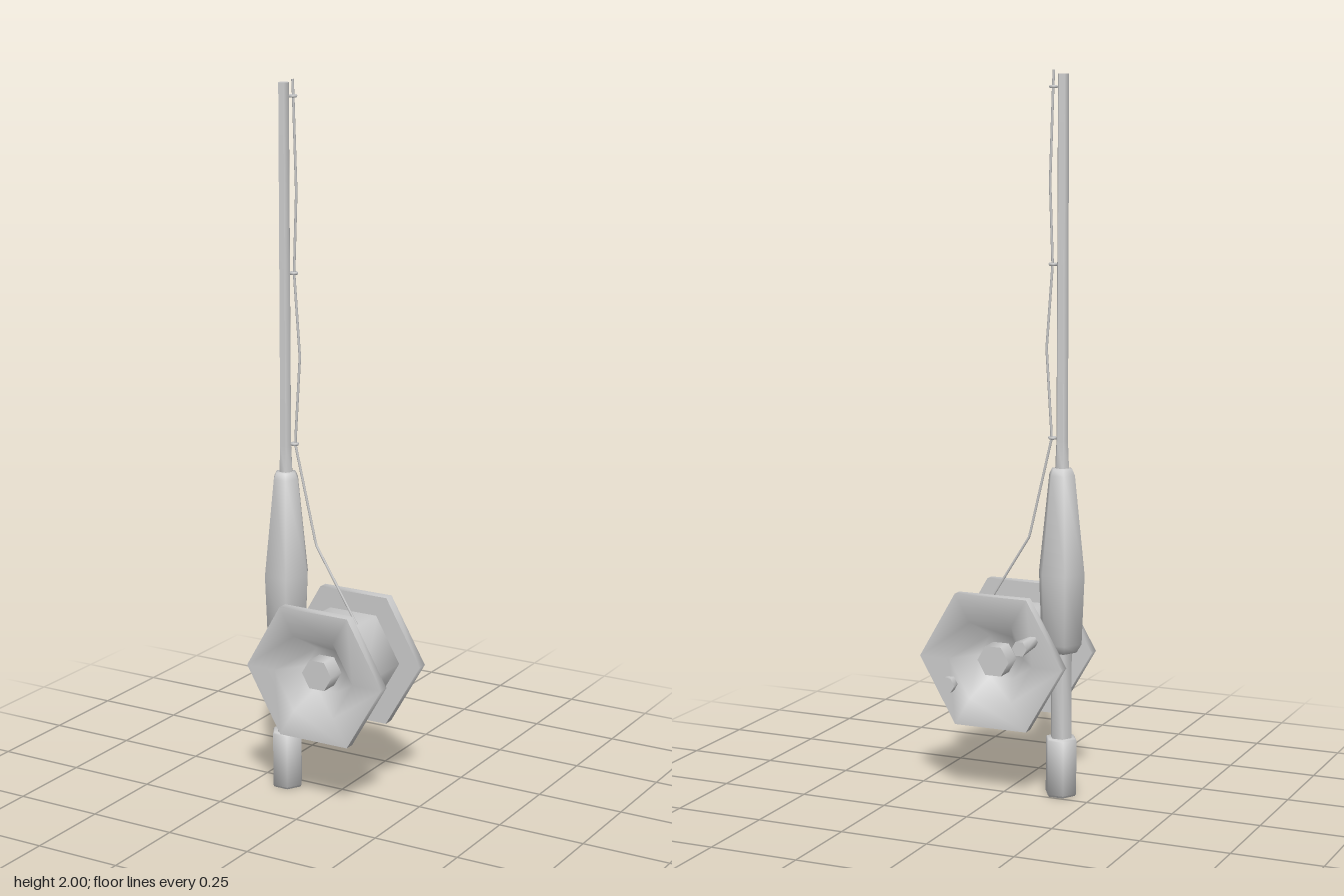
import * as THREE from 'three';
import { toCreasedNormals } from 'three/addons/utils/BufferGeometryUtils.js';

const grey = new THREE.MeshStandardMaterial({ color: 0xcccccc });
const ROD_X = -0.155, MID_Z = 0.043;
const REEL = new THREE.Vector3(0.006, 0.388, 0.044);

// Six-sided turned shape with corners on +-x; 60 degree corners stay soft, rims stay sharp
function hexLathe(profile) {
  const points = profile.map(([r, y]) => new THREE.Vector2(r, y));
  return toCreasedNormals(new THREE.LatheGeometry(points, 6, Math.PI / 2), 1.2);
}

function add(parent, name, geometry, x = 0, y = 0, z = 0) {
  const mesh = new THREE.Mesh(geometry, grey);
  mesh.name = name;
  mesh.position.set(x, y, z);
  parent.add(mesh);
  return mesh;
}

export function createModel() {
  const model = new THREE.Group();
  model.name = 'fishingRod';

  // Rod: butt cap, thin seat, swelling grip and long pole
  const rod = new THREE.Group();
  rod.name = 'rod';
  rod.position.set(ROD_X, 0, MID_Z);
  model.add(rod);
  add(rod, 'buttCap', hexLathe([[0, 0], [0.042, 0], [0.046, 0.006], [0.046, 0.16], [0.042, 0.165], [0, 0.165]]));
  add(rod, 'reelSeat', hexLathe([[0.031, 0.16], [0.031, 0.43]]));
  add(rod, 'grip', hexLathe([[0, 0.41], [0.045, 0.41], [0.06, 0.435], [0.068, 0.63], [0.038, 0.905], [0.03, 0.922], [0, 0.928]]));
  add(rod, 'pole', hexLathe([[0.021, 0.91], [0.017, 1.0], [0.016, 1.99], [0, 1.99]]));

  // Reel, built along its own y and laid along z
  const reel = new THREE.Group();
  reel.name = 'reel';
  reel.position.copy(REEL);
  reel.rotation.x = Math.PI / 2;
  model.add(reel);
  add(reel, 'drum', hexLathe([[0.149, -0.1], [0.149, 0.1]]));
  add(reel, 'axle', hexLathe([[0, -0.105], [0.047, -0.105], [0.047, 0.105], [0, 0.105]]));
  // Flanges with a funnel-shaped recess around the axle
  const flange = hexLathe([[0.14, 0.094], [0.214, 0.094], [0.214, 0.124], [0.125, 0.124], [0.068, 0.05], [0, 0.05]]);
  add(reel, 'frontFlange', flange);
  add(reel, 'backFlange', flange).rotation.x = Math.PI;

  // Crank grip and drag knob stand out from the back flange
  for (const [name, x, y, rBase, rTip, tipZ] of [
    ['crankGrip', -0.121, 0.46, 0.015, 0.022, -0.172],
    ['dragKnob', 0.127, 0.318, 0.022, 0.024, -0.106],
  ]) {
    const baseZ = -0.07;
    const geometry = hexLathe([[0, 0], [rBase, 0], [rTip, baseZ - tipZ], [0, baseZ - tipZ]]);
    add(model, name, geometry, x, y, baseZ).rotation.x = -Math.PI / 2;
  }

  // Line guides beside the pole
  const ring = new THREE.TorusGeometry(0.0088, 0.0045, 6, 6).rotateX(Math.PI / 2);
  for (const y of [1.005, 1.48, 1.955]) add(model, 'lineGuide', ring, -0.126, y, MID_Z);

  // Slack line from the drum through the guides, in straight runs
  const path = new THREE.CurvePath();
  const stops = [[0.076, 0.51], [-0.058, 0.725], [-0.124, 1.005], [-0.108, 1.25], [-0.125, 1.48], [-0.117, 1.7], [-0.125, 1.955], [-0.127, 2]]
    .map(([x, y]) => new THREE.Vector3(x, y, MID_Z));
  for (let i = 1; i < stops.length; i++) path.add(new THREE.LineCurve3(stops[i - 1], stops[i]));
  add(model, 'line', new THREE.TubeGeometry(path, 80, 0.0035, 6));

  return model;
}
